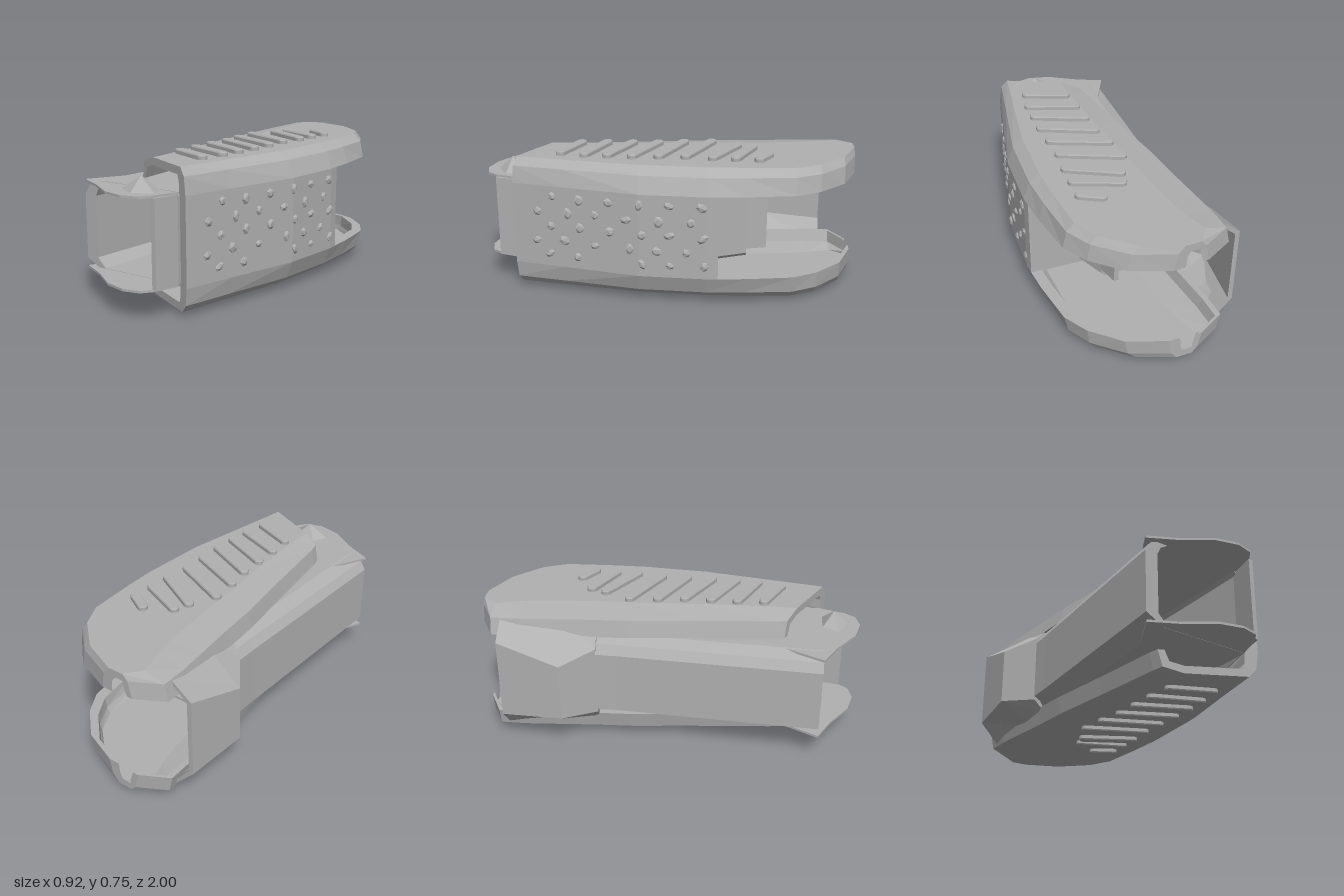
import * as THREE from 'three';

const shellGrey = new THREE.MeshStandardMaterial({ color: 0xb0b0b0, flatShading: true, side: THREE.DoubleSide });
shellGrey.name = 'shellGrey';
const H = 0.754; // full height; the upper and lower halves mirror each other

function add(parent, name, geometry) {
  const m = new THREE.Mesh(geometry, shellGrey);
  m.name = name;
  parent.add(m);
  return m;
}

// Skin a thin wall: each section holds a clockwise outer line and a matching inner line
function loftWall(sections) {
  const loops = sections.map(([outer, inner]) => [...outer, ...[...inner].reverse()]);
  const n = loops[0].length, pos = [];
  const quad = (a, b, c, d) => pos.push(...a, ...b, ...c, ...a, ...c, ...d);
  for (let s = 0; s < loops.length - 1; s++)
    for (let i = 0; i < n; i++) {
      const j = (i + 1) % n;
      quad(loops[s][i], loops[s][j], loops[s + 1][j], loops[s + 1][i]);
    }
  const f = loops[0], b = loops[loops.length - 1];
  for (let i = 0; i < n / 2 - 1; i++) {
    quad(f[i], f[n - 1 - i], f[n - 2 - i], f[i + 1]);
    quad(b[i], b[i + 1], b[n - 2 - i], b[n - 1 - i]);
  }
  const g = new THREE.BufferGeometry();
  g.setAttribute('position', new THREE.Float32BufferAttribute(pos, 3));
  g.computeVertexNormals();
  return g;
}

// Shell outline along z: [z, left edge, edge of flat top, outer right]
const SHELL = [
  [0.8, -0.18, 0.2, 0.245], [0.55, -0.19, 0.25, 0.315], [0.15, -0.23, 0.33, 0.42],
  [-0.2, -0.27, 0.36, 0.45], [-0.4, -0.28, 0.36, 0.44], [-0.65, -0.3, 0.35, 0.41],
  [-0.78, -0.31, 0.29, 0.34], [-0.92, -0.31, 0.14, 0.2], [-1, -0.16, -0.05, 0.0],
];
// The front rim is slanted: further right is further forward
const place = (pts, z, front) => pts.map(([x, y]) => [x, y, front ? 0.7 + 0.5 * x : z]);

function plateGeometry() {
  return loftWall(SHELL.map(([z, xl, xf, xr], k) => {
    const mid = xl + 0.25 * (xf - xl);
    const outer = [[xl - 0.02, 0.61], [xl, 0.7], [mid, 0.73], [xf, 0.73], [(xf + xr) / 2 + 0.01, 0.69], [xr, 0.6]];
    const inner = [[xl + 0.01, 0.61], [xl + 0.03, 0.67], [mid, 0.69], [xf - 0.03, 0.69], [(xf + xr) / 2 - 0.04, 0.66], [xr - 0.06, 0.6]];
    return [place(outer, z, k === 0), place(inner, z, k === 0)];
  }));
}

// Outer right surface at a given z
function wallX(z) {
  for (let i = 0; i < SHELL.length - 1; i++) {
    const a = SHELL[i], b = SHELL[i + 1];
    if (z <= a[0] && z >= b[0]) return a[3] + (b[3] - a[3]) * (a[0] - z) / (a[0] - b[0]);
  }
  return SHELL[0][3];
}

function capsuleShape(length, r) {
  const s = new THREE.Shape();
  s.absarc(length / 2, 0, r, -Math.PI / 2, Math.PI / 2, false);
  s.absarc(-length / 2, 0, r, Math.PI / 2, Math.PI * 1.5, false);
  return s;
}

// Grip ribs: [x0, z0, x1, z1]
const RIBS = [
  [0.14, -0.53, 0.26, -0.46], [0, -0.45, 0.25, -0.34], [-0.03, -0.37, 0.24, -0.22],
  [-0.1, -0.23, 0.22, -0.08], [-0.09, -0.08, 0.22, 0.06], [-0.07, 0.06, 0.22, 0.2],
  [-0.07, 0.2, 0.21, 0.33], [-0.07, 0.34, 0.2, 0.45], [-0.06, 0.48, 0.17, 0.58],
];

// Top half: cover plate, ribs and front tongue (mirrored for the bottom)
function half(name) {
  const g = new THREE.Group();
  g.name = name;
  add(g, 'coverPlate', plateGeometry());
  for (const [x0, z0, x1, z1] of RIBS) {
    const shape = capsuleShape(Math.hypot(x1 - x0, z1 - z0) - 0.03, 0.022);
    const geo = new THREE.ExtrudeGeometry(shape, {
      depth: 0.018, curveSegments: 4, bevelEnabled: true, bevelThickness: 0.006, bevelSize: 0.004, bevelSegments: 1,
    });
    geo.rotateX(-Math.PI / 2);
    geo.rotateY(-Math.atan2(z1 - z0, x1 - x0));
    geo.translate((x0 + x1) / 2, 0.73, (z0 + z1) / 2);
    add(g, 'gripRib', geo);
  }
  const tongue = new THREE.Shape([
    [-0.41, 0.8], [-0.27, 0.87], [-0.12, 0.97], [0, 1], [0.09, 0.98], [0.13, 0.93], [0.18, 0.79], [0.18, 0.6], [-0.3, 0.6],
  ].map(([x, z]) => new THREE.Vector2(x, -z)));
  const geo = new THREE.ExtrudeGeometry(tongue, { depth: 0.012, bevelEnabled: false });
  geo.rotateX(-Math.PI / 2);
  geo.translate(0, 0.596, 0);
  add(g, 'frontTongue', geo);
  return g;
}

export function createModel() {
  const model = new THREE.Group();
  model.name = 'hollowGripShell';

  const top = half('topHalf');
  const bottom = half('bottomHalf');
  bottom.scale.y = -1;
  bottom.position.y = H;
  model.add(top, bottom);

  // Small faceted catch on the upper tongue
  const catchGeo = new THREE.ConeGeometry(0.12, 0.08, 5);
  catchGeo.scale(1, 1, 0.7);
  add(model, 'tongueCatch', catchGeo).position.set(0.01, 0.64, 0.86);

  // Outer side wall, stopping at the rear window
  const wallStations = [0.8, 0.55, 0.15, -0.2, -0.26];
  add(model, 'sideWall', loftWall(wallStations.map((z, k) => {
    const x = wallX(z);
    return [
      place([[x, 0.6], [x, H - 0.6]], z, k === 0),
      place([[x - 0.065, 0.6], [x - 0.065, H - 0.6]], z, k === 0),
    ];
  })));

  // Window edge joining the side wall to the inner sleeve
  add(model, 'windowReturn', loftWall([-0.22, -0.26].map(z => [
    [[0.15, 0.62, z], [0.4, 0.6, z]], [[0.15, 0.14, z], [0.4, 0.15, z]],
  ])));

  // Inner sleeve: a tapering tube open at both ends
  const sleeve = [[0.8, -0.41, 0.19], [0.3, -0.38, 0.185], [-0.26, -0.345, 0.17], [-0.42, -0.34, 0.11]];
  add(model, 'innerSleeve', loftWall(sleeve.map(([z, l, r]) => {
    const outer = [[l, 0.2], [l, 0.53], [l + 0.03, 0.58], [l + 0.1, 0.61], [r - 0.02, 0.61], [r, 0.59],
      [r, 0.165], [r - 0.02, 0.145], [l + 0.1, 0.145], [l, 0.2]];
    const i = l + 0.07, j = r - 0.03;
    const inner = [[i, 0.21], [i, 0.53], [i + 0.02, 0.57], [i + 0.06, 0.596], [j - 0.02, 0.596], [j, 0.58],
      [j, 0.175], [j - 0.02, 0.16], [i + 0.05, 0.16], [i, 0.21]];
    return [place(outer, z), place(inner, z)];
  })));

  // Right wall of the sleeve, running past both ends
  const innerWall = (name, a, b, y0, y1) => add(model, name, loftWall([a, b].map(([x, z]) => [
    [[x, y1, z], [x, y0, z]], [[x - 0.025, y1, z], [x - 0.025, y0, z]],
  ])));
  innerWall('frontCheek', [0.15, 0.93], [0.19, 0.75], 0.157, 0.597);
  innerWall('rearCheek', [0.115, -0.4], [0.085, -0.53], 0.19, 0.56);

  // Flared rear wing on the left: [z, outer x, roof x, low y, high y, roof y]
  const wing = [
    [-0.37, -0.34, -0.27, 0.18, 0.56, 0.64], [-0.54, -0.46, -0.27, 0.2, 0.51, 0.67], [-0.87, -0.42, -0.3, 0.18, 0.61, 0.7],
  ];
  add(model, 'rearWing', loftWall(wing.map(([z, x, xi, y0, y1, yr]) => [
    [[xi, H - yr, z], [x, y0, z], [x, y1, z], [xi, yr, z]],
    [[xi, H - yr + 0.02, z], [x + 0.025, y0 + 0.01, z], [x + 0.025, y1 - 0.01, z], [xi, yr - 0.02, z]],
  ])));

  // Faceted grip studs scattered over the side wall
  let seed = 7;
  const rand = () => (seed = (seed * 16807) % 2147483647) / 2147483647;
  for (let row = 0; row < 5; row++)
    for (let col = 0; col < 6; col++) {
      if (row === 4 && col === 2) continue;
      const z = (row % 2 ? 0.69 : 0.62) - col * 0.16 + (rand() - 0.5) * 0.03;
      const y = 0.54 - row * 0.08 + (rand() - 0.5) * 0.015;
      const stud = add(model, 'gripStud', new THREE.IcosahedronGeometry(0.026, 0));
      stud.scale.set(0.6, 0.8 + rand() * 0.4, 0.9 + rand() * 0.5);
      stud.rotation.x = rand() * 3;
      stud.position.set(wallX(z) - 0.002, y, z);
    }
  return model;
}
